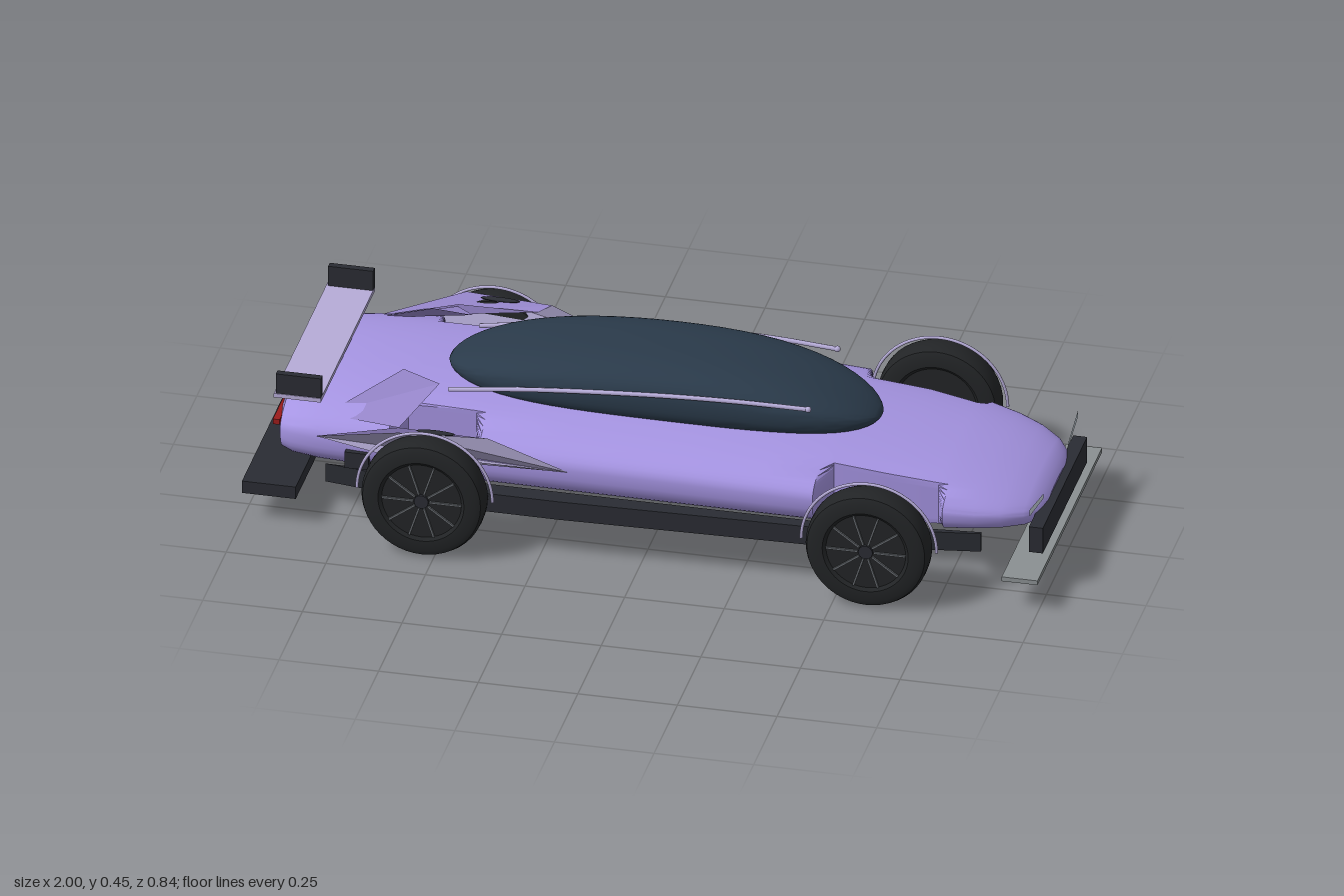
import * as THREE from 'three';
import { toCreasedNormals } from 'three/addons/utils/BufferGeometryUtils.js';

const paint = (color, side = THREE.FrontSide) => new THREE.MeshStandardMaterial({ color, side });
const MAT = {
  body: paint(0xa594e2), trim: paint(0xb6acd8), panel: paint(0xa79fc6, THREE.DoubleSide),
  fin: paint(0x9484c8, THREE.DoubleSide), glass: paint(0x2a3a4a), black: paint(0x2a2c33),
  tyre: paint(0x222426), spoke: paint(0x63676c), grey: paint(0x8a9092),
  lamp: paint(0xc8d4de), red: paint(0x9c1c1c),
};

function add(parent, name, geometry, material, x = 0, y = 0, z = 0) {
  const mesh = new THREE.Mesh(geometry, material);
  mesh.name = name;
  mesh.position.set(x, y, z);
  parent.add(mesh);
  return mesh;
}

// Box given by its limits on each axis
function slab(parent, name, material, [x0, x1], [y0, y1], [z0, z1]) {
  return add(parent, name, new THREE.BoxGeometry(x1 - x0, y1 - y0, z1 - z0), material,
    (x0 + x1) / 2, (y0 + y1) / 2, (z0 + z1) / 2);
}

// Thin convex panel from its corners
function panel(parent, name, material, corners) {
  const g = new THREE.BufferGeometry();
  g.setAttribute('position', new THREE.Float32BufferAttribute(corners.flat(), 3));
  const index = [];
  for (let i = 1; i < corners.length - 1; i++) index.push(0, i, i + 1);
  g.setIndex(index);
  const flat = g.toNonIndexed();
  flat.computeVertexNormals();
  return add(parent, name, flat, material);
}

// Skin over rounded sections; stations are [x, halfWidth, top, middle, bottom, sideLimit]
function loft(stations, nTop, nBottom, crease) {
  const N = 56, pos = [], index = [];
  const pow = (v, n) => Math.sign(v) * Math.abs(v) ** (2 / n);
  for (const [x, w, top, mid, bottom, limit = 9] of stations) {
    for (let j = 0; j < N; j++) {
      const a = (j / N) * Math.PI * 2, s = Math.sin(a), n = s >= 0 ? nTop : nBottom;
      const z = THREE.MathUtils.clamp(w * pow(Math.cos(a), n), -limit, limit);
      pos.push(x, mid + (s >= 0 ? top - mid : mid - bottom) * pow(s, n), z);
    }
  }
  const last = (stations.length - 1) * N, c0 = stations.length * N;
  for (const s of [stations[0], stations[stations.length - 1]]) pos.push(s[0], s[3], 0);
  for (let j = 0; j < N; j++) {
    const k = (j + 1) % N;
    for (let i = 0; i < last; i += N) {
      index.push(i + j, i + N + j, i + N + k, i + j, i + N + k, i + k);
    }
    index.push(c0, j, k, c0 + 1, last + k, last + j);
  }
  const g = new THREE.BufferGeometry();
  g.setAttribute('position', new THREE.Float32BufferAttribute(pos, 3));
  g.setIndex(index);
  return toCreasedNormals(g, crease);
}

function wheel(parent, name, x, z, side) {
  const group = new THREE.Group();
  group.name = name;
  group.position.set(x, 0.155, z);
  group.scale.z = 1;
  // Tyre profile: radius against width, with rounded shoulders
  const profile = [[0, -0.033], [0.1, -0.033], [0.108, -0.04], [0.135, -0.04], [0.148, -0.034], [0.154, -0.02],
    [0.155, 0], [0.154, 0.02], [0.148, 0.034], [0.135, 0.04], [0.108, 0.04], [0.1, 0.033], [0, 0.033]]
    .map(([r, w]) => new THREE.Vector2(r, w));
  const tyre = toCreasedNormals(new THREE.LatheGeometry(profile, 48), 0.6);
  add(group, 'tyre', tyre.rotateX(Math.PI / 2), MAT.tyre);
  add(group, 'hub', new THREE.CylinderGeometry(0.018, 0.018, 0.078, 16).rotateX(Math.PI / 2), MAT.black);
  for (let i = 0; i < 10; i++) {
    const a = (i / 10) * Math.PI * 2;
    const spoke = add(group, 'spoke', new THREE.BoxGeometry(0.08, 0.005, 0.006), MAT.spoke,
      0.06 * Math.cos(a), 0.06 * Math.sin(a), side * 0.035);
    spoke.rotation.z = a;
  }
  // Thin arch hoop over the wheel
  add(group, 'archHoop', new THREE.TorusGeometry(0.17, 0.004, 8, 40, Math.PI), MAT.trim);
  parent.add(group);
}

export function createModel() {
  const car = new THREE.Group();
  car.name = 'sportsCar';

  // Body shell, cut in beside the wheels
  add(car, 'body', loft([
    [-0.93, 0.23, 0.28, 0.22, 0.15], [-0.92, 0.265, 0.296, 0.225, 0.135], [-0.89, 0.285, 0.31, 0.23, 0.128],
    [-0.82, 0.3, 0.322, 0.232, 0.125], [-0.72, 0.31, 0.328, 0.235, 0.125], [-0.64, 0.315, 0.33, 0.237, 0.125],
    [-0.61, 0.316, 0.33, 0.238, 0.125, 0.21], [-0.44, 0.325, 0.328, 0.238, 0.125, 0.21],
    [-0.41, 0.327, 0.327, 0.238, 0.125], [-0.2, 0.33, 0.325, 0.238, 0.125], [0.1, 0.33, 0.321, 0.236, 0.125],
    [0.3, 0.328, 0.315, 0.232, 0.125], [0.43, 0.325, 0.307, 0.228, 0.125], [0.46, 0.322, 0.304, 0.226, 0.125, 0.22],
    [0.6, 0.305, 0.29, 0.215, 0.127, 0.22], [0.72, 0.285, 0.272, 0.205, 0.129, 0.21],
    [0.745, 0.28, 0.268, 0.203, 0.13], [0.82, 0.26, 0.252, 0.195, 0.131], [0.88, 0.235, 0.234, 0.187, 0.132],
    [0.93, 0.2, 0.215, 0.178, 0.134], [0.955, 0.165, 0.2, 0.17, 0.138], [0.968, 0.12, 0.182, 0.163, 0.145],
  ], 2.2, 3, 0.55), MAT.body);

  // Glass canopy
  const canopy = [];
  for (let i = 0; i <= 32; i++) {
    const t = -Math.cos((i / 32) * Math.PI) * 0.998;
    const mid = 0.34 + 0.02 * (1 - t * t) - 0.03 * Math.max(t, 0) ** 3;
    const rise = 0.087 * (1 - t * t) ** 0.62;
    canopy.push([-0.012 + 0.542 * t, 0.175 * (1 - Math.abs(t) ** 3.4) ** 0.5, mid + rise, mid, mid - rise]);
  }
  add(car, 'canopy', loft(canopy, 2.7, 2.7, 1), MAT.glass);

  // Nose and tail
  slab(car, 'frontSplitter', MAT.grey, [0.91, 1], [0.077, 0.089], [-0.345, 0.345]);
  slab(car, 'frontBumper', MAT.black, [0.953, 0.988], [0.106, 0.176], [-0.237, 0.237]);
  slab(car, 'rearDiffuser', MAT.black, [-1, -0.865], [0.075, 0.108], [-0.332, 0.332]);
  slab(car, 'rearWing', MAT.trim, [-0.93, -0.812], [0.328, 0.339], [-0.29, 0.29]);

  // Side skirt outline in plan
  const skirtShape = new THREE.Shape([[-0.8, 0.29], [-0.42, 0.3], [0.42, 0.3], [0.84, 0.262], [0.84, 0.27],
    [0.43, 0.332], [-0.2, 0.349], [-0.42, 0.348]].map(([x, z]) => new THREE.Vector2(x, z)));

  for (const s of [1, -1]) {
    const side = s > 0 ? 'left' : 'right';
    const mirror = (pts) => pts.map(([x, y, z]) => [x, y, s * z]);
    const span = (a, b) => (s > 0 ? [a, b] : [-b, -a]);

    wheel(car, side + 'FrontWheel', 0.585, s * 0.38, s);
    wheel(car, side + 'RearWheel', -0.53, s * 0.38, s);

    const skirt = new THREE.ExtrudeGeometry(skirtShape, { depth: 0.05, bevelEnabled: false });
    skirt.translate(0, 0, -0.025).rotateX(Math.PI / 2);
    if (s < 0) skirt.rotateX(Math.PI);
    add(car, side + 'Skirt', skirt, MAT.black, 0, 0.135, 0);

    // Canopy rail with a round tip
    const rail = new THREE.CatmullRomCurve3(mirror([[-0.52, 0.335, 0.165], [-0.3, 0.365, 0.172],
      [0, 0.388, 0.173], [0.2, 0.393, 0.168], [0.38, 0.388, 0.157]]).map((p) => new THREE.Vector3(...p)));
    add(car, side + 'CanopyRail', new THREE.TubeGeometry(rail, 32, 0.006, 8), MAT.trim);
    add(car, side + 'RailTip', new THREE.SphereGeometry(0.008, 12, 8), MAT.trim, 0.38, 0.388, s * 0.157);

    // Rear haunch: outer flank, sloping shoulder and raised fin
    panel(car, side + 'Flank', MAT.panel, mirror([[-0.18, 0.235, 0.332], [-0.38, 0.312, 0.345],
      [-0.6, 0.312, 0.366], [-0.82, 0.245, 0.31], [-0.62, 0.25, 0.378], [-0.4, 0.25, 0.358]]));
    panel(car, side + 'Shoulder', MAT.fin, mirror([[-0.82, 0.245, 0.31], [-0.6, 0.312, 0.366],
      [-0.38, 0.312, 0.345], [-0.41, 0.3, 0.325], [-0.61, 0.3, 0.32]]));
    panel(car, side + 'Fin', MAT.fin, mirror([[-0.81, 0.275, 0.25], [-0.61, 0.297, 0.315],
      [-0.54, 0.355, 0.178], [-0.635, 0.373, 0.157]]));
    const vent = add(car, side + 'ShoulderVent', new THREE.SphereGeometry(1, 16, 8), MAT.black, -0.51, 0.312, s * 0.345);
    vent.scale.set(0.05, 0.005, 0.008);
    slab(car, side + 'RearDuct', MAT.black, [-0.745, -0.685], [0.172, 0.216], span(0.28, 0.322));

    slab(car, side + 'WingEndplate', MAT.black, [-0.925, -0.812], [0.339, 0.393], span(0.27, 0.288));
    slab(car, side + 'TailLamp', MAT.red, [-0.937, -0.92], [0.242, 0.256], span(0.09, 0.27));
    panel(car, side + 'Headlamp', paint(0xc8d4de, THREE.DoubleSide), mirror([[0.96, 0.236, 0.26],
      [0.96, 0.218, 0.26], [0.965, 0.2, 0.13], [0.965, 0.213, 0.13]]));
  }
  return car;
}
